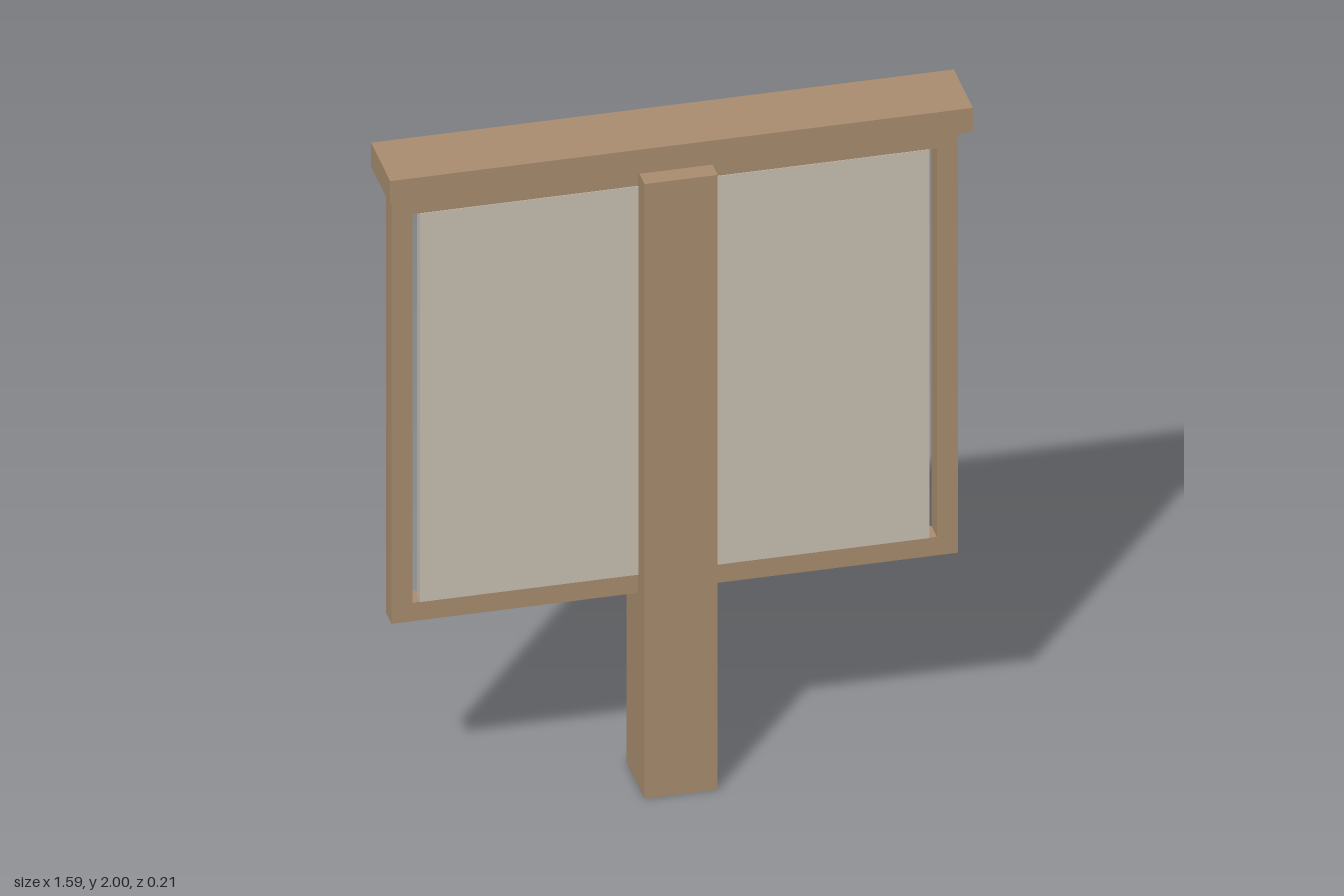
import * as THREE from 'three';

export function createModel() {
  const group = new THREE.Group();
  const wood = new THREE.MeshStandardMaterial({ color: 0xab8e70 });
  wood.name = 'wood';
  const board = new THREE.MeshStandardMaterial({ color: 0xc9c2b4 });
  board.name = 'pale board';

  function box(name, material, [w, h, d], [x, y, z]) {
    const mesh = new THREE.Mesh(new THREE.BoxGeometry(w, h, d), material);
    mesh.name = name;
    mesh.position.set(x, y, z);
    group.add(mesh);
  }

  // Central post and the cap beam floating just above it
  box('post', wood, [0.2, 1.89, 0.2], [0, 0.945, 0]);
  box('capBeam', wood, [1.594, 0.074, 0.208], [0, 1.963, 0]);

  // Rectangular frame with an open middle
  const rect = (path, x, y0, y1) =>
    path.moveTo(-x, y0).lineTo(x, y0).lineTo(x, y1).lineTo(-x, y1).closePath();
  const outline = new THREE.Shape();
  rect(outline, 0.775, 0.593, 1.902);
  const opening = new THREE.Path();
  rect(opening, 0.717, 0.65, 1.845);
  outline.holes.push(opening);
  const frame = new THREE.Mesh(
    new THREE.ExtrudeGeometry(outline, { depth: 0.06, bevelEnabled: false }), wood);
  frame.name = 'frame';
  frame.position.z = -0.03;
  group.add(frame);

  // Display panel set in the front half of the frame, with a gap at each side
  box('displayPanel', board, [1.394, 1.195, 0.032], [0, 1.2475, 0.016]);

  return group;
}
